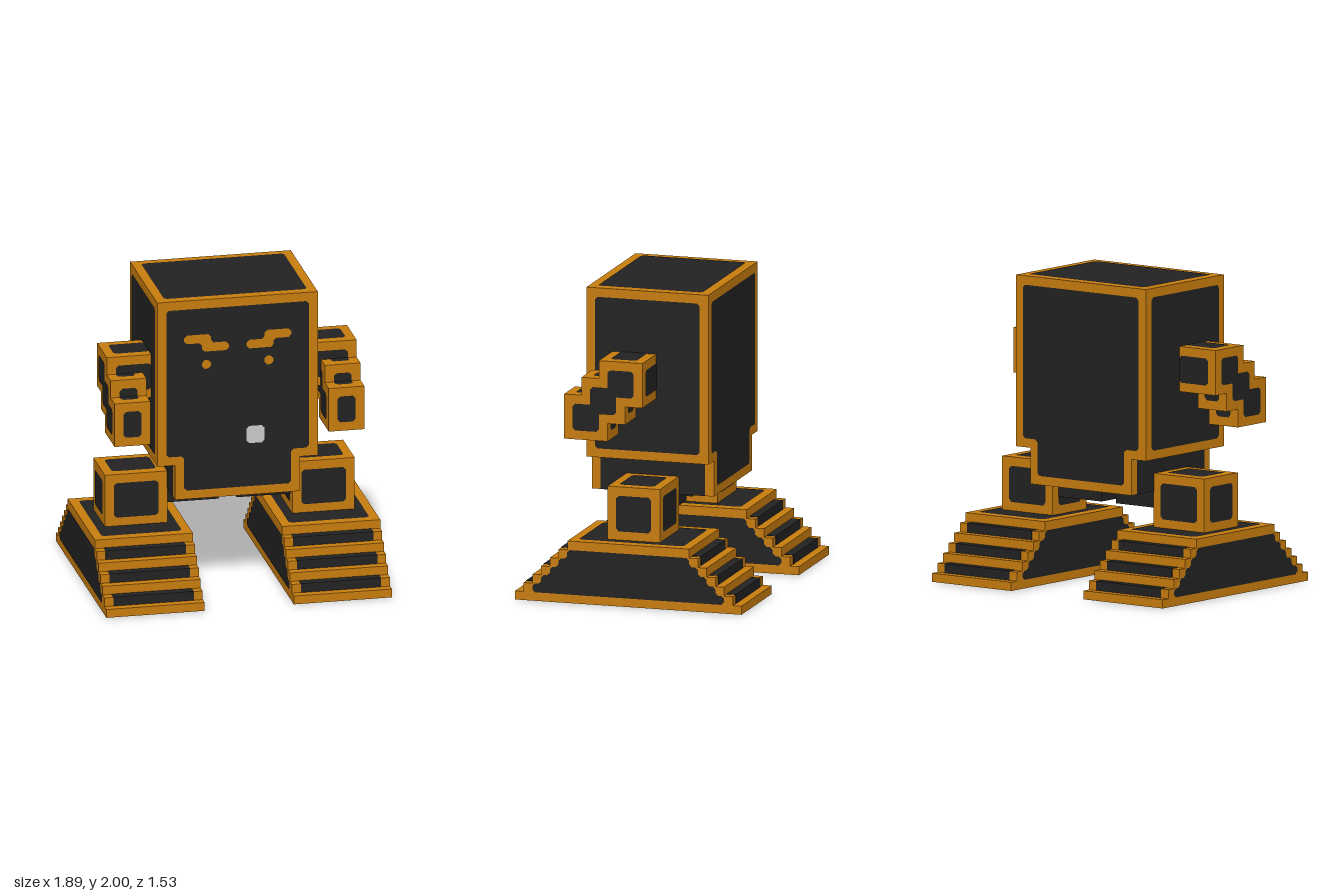
import * as THREE from 'three';

const U = 2 / 34;   // one block unit
const LIFT = 0.04;  // how far panels stand off a surface, in units
const CUT = 0.3;    // clipped panel corners, in units

export function createModel() {
  const mat = (name, color) => {
    const m = new THREE.MeshStandardMaterial({ color });
    m.name = name;
    return m;
  };
  const orange = mat('orange trim', 0xc87d0e);
  const dark = mat('charcoal', 0x222222);
  const grey = mat('light grey', 0xcacaca);

  const group = (name, parent) => {
    const g = new THREE.Group();
    g.name = name;
    parent.add(g);
    return g;
  };

  // Box given by its ranges along x, y and z
  const box = (parent, name, m, [x0, x1], [y0, y1], [z0, z1]) => {
    const geo = new THREE.BoxGeometry(Math.abs(x1 - x0), y1 - y0, z1 - z0);
    geo.translate((x0 + x1) / 2, (y0 + y1) / 2, (z0 + z1) / 2);
    const mesh = new THREE.Mesh(geo, m);
    mesh.name = name;
    parent.add(mesh);
  };

  // For each facing: rotation, and how the two in-plane coordinates map to the shape
  const H = Math.PI / 2;
  const FACES = {
    '+z': { rot: [0, 0], map: (x, y) => [x, y], dir: [0, 0, 1] },
    '-z': { rot: [0, 2 * H], map: (x, y) => [-x, y], dir: [0, 0, 1] },
    '+x': { rot: [0, H], map: (z, y) => [-z, y], dir: [1, 0, 0] },
    '-x': { rot: [0, -H], map: (z, y) => [z, y], dir: [1, 0, 0] },
    '+y': { rot: [-H, 0], map: (x, z) => [x, -z], dir: [0, 1, 0] },
    '-y': { rot: [H, 0], map: (x, z) => [x, z], dir: [0, 1, 0] },
  };

  // Flat painted face with clipped corners
  const panel = (parent, name, m, face, pos, pts, cut = CUT) => {
    const f = FACES[face];
    const v = pts.map(([a, b]) => new THREE.Vector2(...f.map(a, b)));
    const outline = [];
    v.forEach((p, i) => {
      for (const q of [v[(i + v.length - 1) % v.length], v[(i + 1) % v.length]]) {
        outline.push(p.clone().add(q.clone().sub(p).setLength(cut)));
      }
    });
    const geo = new THREE.ShapeGeometry(new THREE.Shape(cut ? outline : v));
    geo.rotateX(f.rot[0]).rotateY(f.rot[1]);
    const at = pos + (face[0] === '+' ? LIFT : -LIFT);
    geo.translate(...f.dir.map((d) => d * at));
    const mesh = new THREE.Mesh(geo, m);
    mesh.name = name;
    parent.add(mesh);
  };
  const rect = ([a0, a1], [b0, b1]) => [[a0, b0], [a1, b0], [a1, b1], [a0, b1]];

  // Orange block with a dark inset panel on every face
  const framedBox = (parent, name, s, x, y, z, px, inset = 1) => {
    const xs = x.map((v) => v * s), pxs = px.map((v) => v * s);
    const py = [y[0] + inset, y[1] - inset], pz = [z[0] + inset, z[1] - inset];
    box(parent, name, orange, xs, y, z);
    const [lo, hi] = [Math.min(...xs), Math.max(...xs)];
    panel(parent, name + 'Front', dark, '+z', z[1], rect(pxs, py));
    panel(parent, name + 'Back', dark, '-z', z[0], rect(pxs, py));
    panel(parent, name + 'Top', dark, '+y', y[1], rect(pxs, pz));
    panel(parent, name + 'Bottom', dark, '-y', y[0], rect(pxs, pz));
    panel(parent, name + 'SideA', dark, '+x', hi, rect(pz, py));
    panel(parent, name + 'SideB', dark, '-x', lo, rect(pz, py));
  };

  const model = new THREE.Group();
  model.name = 'blockRobot';
  const root = group('robot', model);

  // Body: wide upper block, narrower lower block
  const body = group('body', root);
  box(body, 'upperBody', orange, [-9, 9], [15, 34], [-7, 7]);
  box(body, 'lowerBody', orange, [-7, 7], [11, 15], [-7, 7]);
  const bodyFace = [[-6, 12], [6, 12], [6, 16], [8, 16], [8, 33], [-8, 33], [-8, 16], [-6, 16]];
  panel(body, 'frontPanel', dark, '+z', 7, bodyFace);
  panel(body, 'backPanel', dark, '-z', -7, bodyFace);
  panel(body, 'topPanel', dark, '+y', 34, rect([-8, 8], [-6, 6]));
  panel(body, 'underside', dark, '-y', 11, rect([-7, 7], [-7, 7]), 0);
  for (const s of [1, -1]) {
    const out = s > 0 ? '+x' : '-x';
    panel(body, 'sidePanel', dark, out, 9 * s, rect([-6, 6], [16, 33]));
    panel(body, 'lowerSidePanel', dark, out, 7 * s, rect([-6, 6], [11, 15]), 0);
    panel(body, 'overhangPanel', dark, '-y', 15, rect([7 * s, 8 * s], [-6, 6]), 0);
  }

  // Face: brows and eyes stand just off the front panel
  const face = group('face', root);
  for (const s of [1, -1]) {
    const brow = [[1, 28], [4, 28], [4, 29], [6, 29], [6, 30], [3, 30], [3, 29], [1, 29]];
    panel(face, 'brow', orange, '+z', 7 + LIFT, brow.map(([x, y]) => [x * s, y]));
    panel(face, 'eye', orange, '+z', 7 + LIFT, rect([3 * s, 4 * s], [26, 27]));
  }
  panel(face, 'mouth', grey, '+z', 7 + LIFT, rect([1, 3], [17, 19]));

  for (const s of [1, -1]) {
    const side = s > 0 ? 'left' : 'right';

    // Arm: three overlapping blocks stepping forward and down
    const arm = group(side + 'Arm', root);
    ['shoulder', 'elbow', 'hand'].forEach((name, i) => {
      const y = [22 - 2 * i, 27 - 2 * i], z = [-1 + 2 * i, 4 + 2 * i];
      framedBox(arm, name, s, [i ? 10 : 9, 14], y, z, [i ? 11 : 9, 13]);
    });

    // Leg and hip
    const leg = group(side + 'Leg', root);
    framedBox(leg, 'leg', s, [7, 14], [7, 13], [-3, 3], [8, 13]);
    box(leg, 'hip', dark, [s, 7 * s], [9, 11], [-2, 2]);

    // Foot: stepped pyramid, every second step dark between orange ends
    const foot = group(side + 'Foot', root);
    for (let k = 0; k < 7; k++) {
      const d = 13 - k;
      box(foot, 'step', orange, [5 * s, 16 * s], [k || LIFT, k + 1], [-d, d]);
      if (k % 2) {
        box(foot, 'stepInlay', dark, [6 * s, 15 * s], [k, k + 1 + LIFT], [-d - LIFT, d + LIFT]);
      }
    }
    panel(foot, 'footTop', dark, '+y', 7, rect([6 * s, 15 * s], [-6, 6]));

    // Stair-shaped side panels
    const stairs = [];
    for (let k = 1; k < 6; k++) stairs.push([12 - k, k], [12 - k, k + 1]);
    const outline = [...stairs, ...stairs.map(([z, y]) => [-z, y]).reverse()];
    panel(foot, 'footSideA', dark, '+x', s > 0 ? 16 : -5, outline);
    panel(foot, 'footSideB', dark, '-x', s > 0 ? 5 : -16, outline);

    // Sole treads
    for (let z = 1; z < 12; z += 2) {
      for (const t of [1, -1]) {
        panel(foot, 'soleTread', dark, '-y', LIFT, rect([7 * s, 14 * s], [z * t, (z + 1) * t]));
      }
    }
  }

  root.scale.setScalar(U);
  return model;
}
